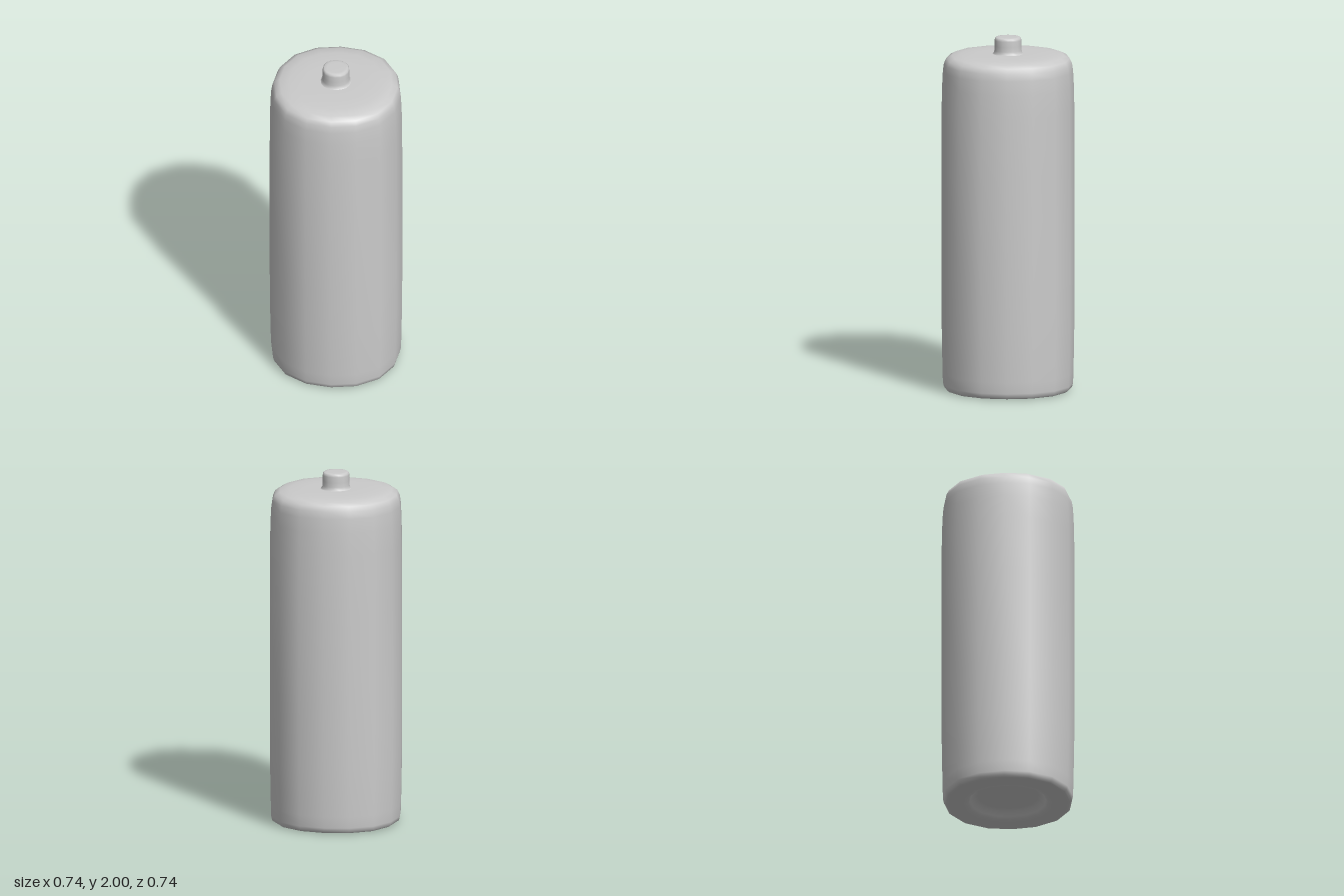
import * as THREE from 'three';
import { mergeVertices } from 'three/addons/utils/BufferGeometryUtils.js';

const SIDES = 16;

// Smooth turned surface whose section is very slightly squared at the diagonals
function turned(name, profile, material) {
  const points = profile.map(([r, y]) => new THREE.Vector2(r, y));
  let geo = new THREE.LatheGeometry(points, SIDES);
  const pos = geo.attributes.position;
  for (let i = 0; i < pos.count; i++) {
    const x = pos.getX(i), z = pos.getZ(i);
    const k = 1 + 0.016 * (1 - Math.cos(4 * Math.atan2(z, x)));
    pos.setXYZ(i, x * k, pos.getY(i), z * k);
  }
  // Weld the seam and poles so that the normals are continuous
  geo.deleteAttribute('uv');
  geo.deleteAttribute('normal');
  geo = mergeVertices(geo, 1e-4);
  geo.computeVertexNormals();
  const mesh = new THREE.Mesh(geo, material);
  mesh.name = name;
  return mesh;
}

export function createModel() {
  const group = new THREE.Group();
  group.name = 'batteryCell';
  const grey = new THREE.MeshStandardMaterial({ color: 0xcccccc });

  // Casing: recessed base, rounded rims, straight wall and flat shoulder
  group.add(turned('casing', [
    [0, 0.05], [0.17, 0.05], [0.195, 0.044], [0.212, 0.02], [0.225, 0.006],
    [0.25, 0.001], [0.3, 0], [0.345, 0.003], [0.358, 0.012], [0.364, 0.035],
    [0.366, 0.1], [0.368, 0.2], [0.371, 0.38],
    [0.372, 0.7], [0.372, 1.25], [0.371, 1.6],
    [0.368, 1.73], [0.364, 1.81], [0.358, 1.85], [0.345, 1.878],
    [0.315, 1.894], [0.26, 1.902], [0.18, 1.905], [0.086, 1.905],
  ], grey));

  // Terminal: small button with a flared foot and softened top edge
  group.add(turned('terminal', [
    [0.086, 1.905], [0.079, 1.91], [0.076, 1.925], [0.075, 1.95],
    [0.075, 1.982], [0.073, 1.993], [0.066, 1.999], [0.05, 2], [0, 2],
  ], grey));

  return group;
}
